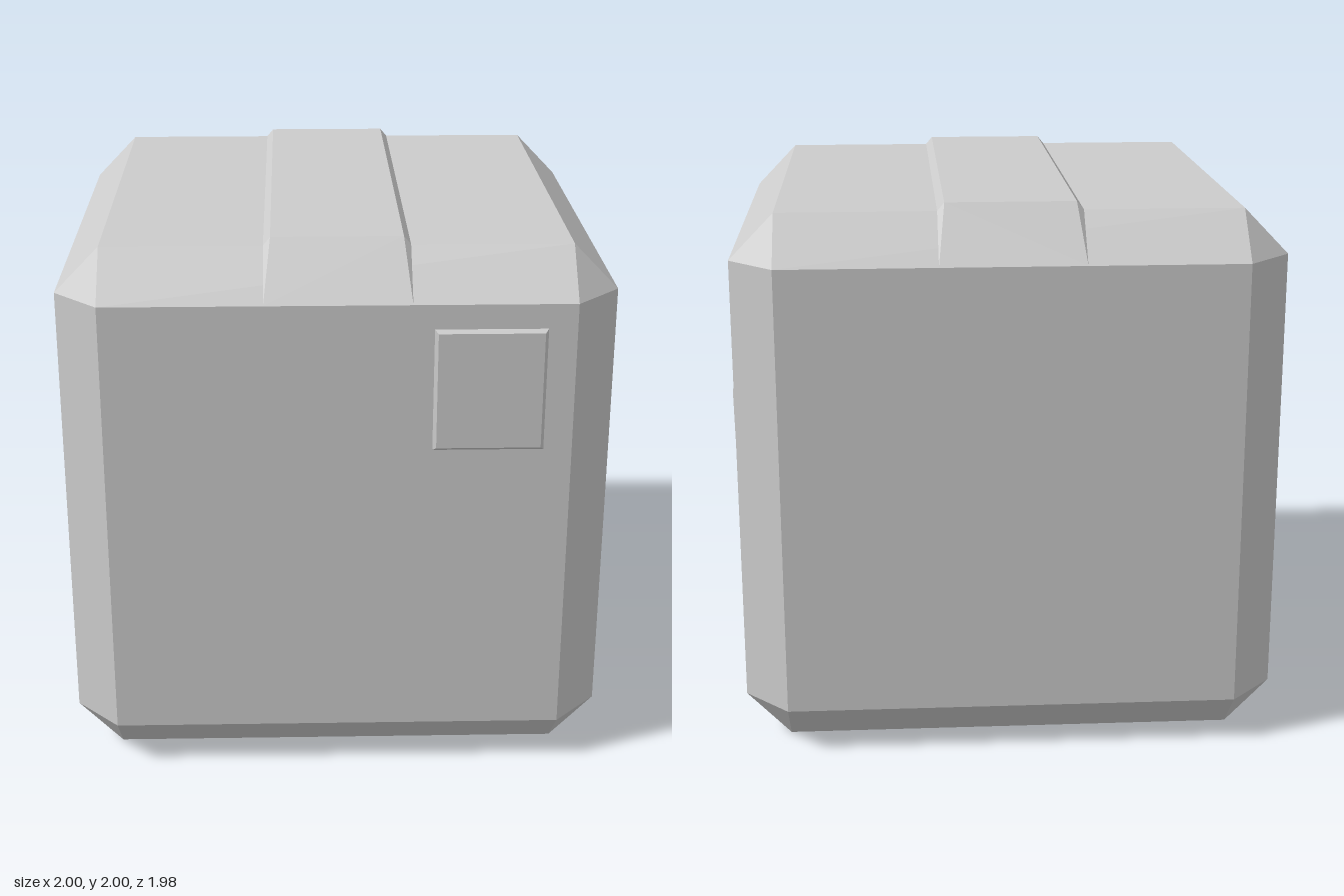
import * as THREE from 'three';
import { ConvexGeometry } from 'three/addons/geometries/ConvexGeometry.js';

const material = new THREE.MeshStandardMaterial({ color: 0xcccccc });
const flatMaterial = new THREE.MeshStandardMaterial({ color: 0xcccccc, flatShading: true });

// Outer and chamfer-edge limits of the box
const X = 0.98, XI = 0.82;
const Z = [-0.99, 0.975], ZI = [-0.825, 0.81];
const Y = [0, 1.97], YI = [0.165, 1.805];

function hull(name, coords) {
  const mesh = new THREE.Mesh(
    new ConvexGeometry(coords.map((p) => new THREE.Vector3(...p))), flatMaterial);
  mesh.name = name;
  return mesh;
}

// Thin raised panel in the XY plane with sloping borders, open at the back
function panel(name, width, height, depth, inset, mat) {
  const points = [];
  for (const [d, z] of [[0, 0], [inset, depth]]) {
    const w = width / 2 - d, h = height / 2 - d;
    points.push(-w, -h, z, w, -h, z, w, h, z, -w, h, z);
  }
  const index = [4, 5, 6, 4, 6, 7];
  for (let i = 0; i < 4; i++) {
    const j = (i + 1) % 4;
    index.push(i, j, j + 4, i, j + 4, i + 4);
  }
  const geometry = new THREE.BufferGeometry();
  geometry.setAttribute('position', new THREE.Float32BufferAttribute(points, 3));
  geometry.setIndex(index);
  geometry.computeVertexNormals();
  const mesh = new THREE.Mesh(geometry, mat);
  mesh.name = name;
  return mesh;
}

export function createModel() {
  const group = new THREE.Group();
  group.name = 'parcelBox';

  // Chamfered box: each corner contributes one point per adjoining face
  const bodyPoints = [], ridgePoints = [];
  for (const s of [-1, 1]) {
    for (const k of [0, 1]) {
      for (const j of [0, 1]) {
        bodyPoints.push(
          [s * X, YI[j], ZI[k]], [s * XI, Y[j], ZI[k]], [s * XI, YI[j], Z[k]]);
      }
      // Tape strip: bevelled sides, ends tapering down the chamfers
      ridgePoints.push(
        [s * 0.255, Y[1], ZI[k]], [s * 0.23, 2, ZI[k]], [s * 0.255, YI[1], Z[k]]);
    }
  }
  group.add(hull('boxBody', bodyPoints), hull('topTapeStrip', ridgePoints));

  // Square label on the front
  const frontLabel = panel('frontLabel', 0.39, 0.446, 0.015, 0.012, flatMaterial);
  frontLabel.position.set(0.525, 1.494, Z[1]);

  // Tilted soft-edged patches on the two sides
  const leftPatch = panel('leftPatch', 0.325, 0.553, 0.02, 0.035, material);
  leftPatch.position.set(X, 1.065, -0.48);
  leftPatch.rotation.set(0, Math.PI / 2, -0.155);

  const rightPatch = panel('rightPatch', 0.82, 0.49, 0.02, 0.035, material);
  rightPatch.position.set(-X, 1.35, 0.065);
  rightPatch.rotation.set(0, -Math.PI / 2, 0.253);

  group.add(frontLabel, leftPatch, rightPatch);
  return group;
}
